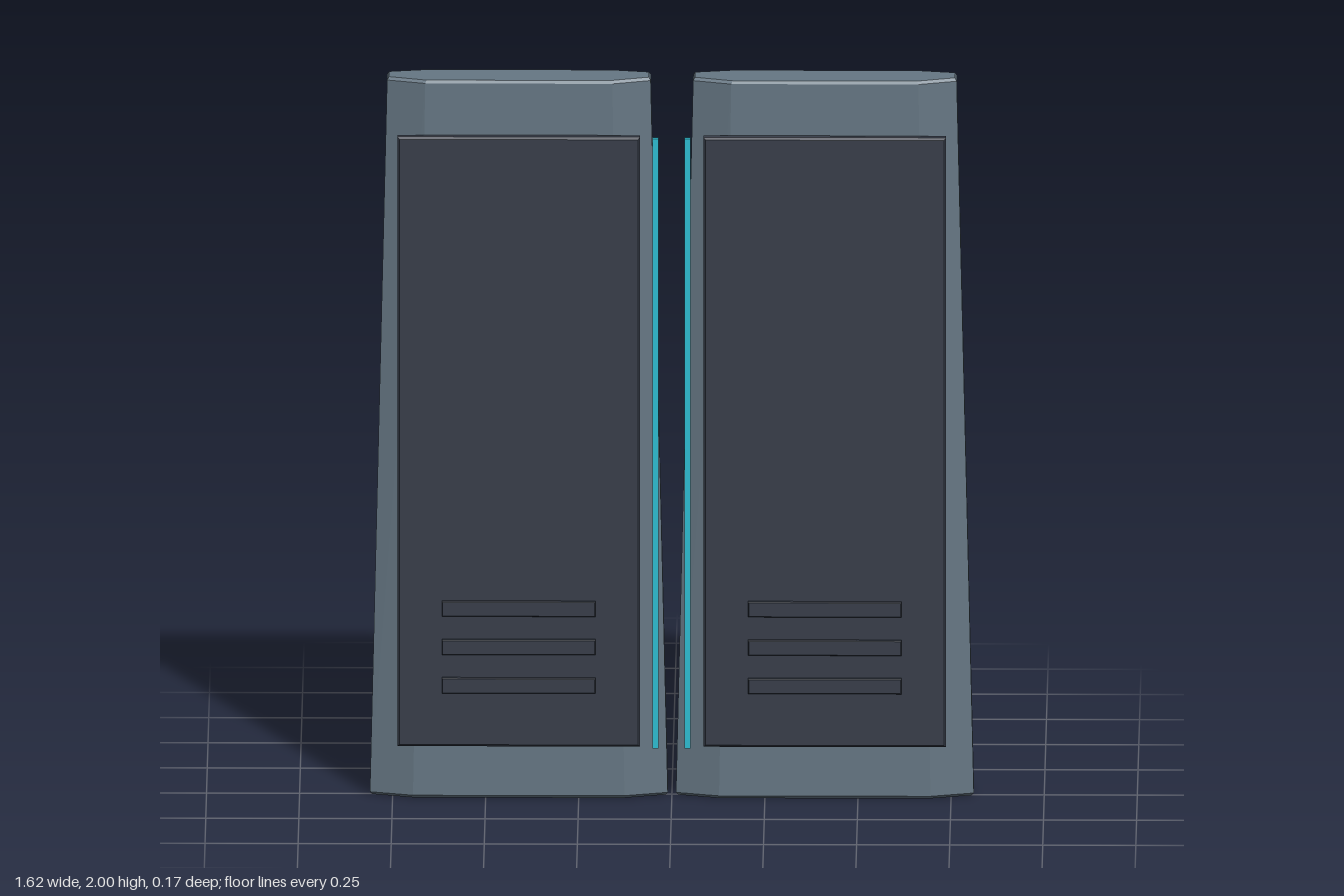
import * as THREE from 'three';

const frameMat = new THREE.MeshStandardMaterial({ color: 0x667784 });
const plateMat = new THREE.MeshStandardMaterial({ color: 0x373d49 });
const lightMat = new THREE.MeshStandardMaterial({ color: 0x2cc0d4 });
frameMat.name = 'slate grey';
plateMat.name = 'dark grey';
lightMat.name = 'cyan';

// Tapered eight-sided slab, lofted through rings of [y, half width, back z, front z]
function slabGeometry() {
  const rings = [
    [0, 0.394, -0.079, 0.039],
    [0.008, 0.4, -0.085, 0.045],
    [1.992, 0.354, -0.076, 0.04],
    [2, 0.349, -0.071, 0.035],
  ].map(([y, w, b, f]) => {
    const c = w * 0.71, sb = b + 0.02, sf = f - 0.034;
    return [[c, f], [w, sf], [w, sb], [c, b], [-c, b], [-w, sb], [-w, sf], [-c, f]]
      .map(([x, z]) => [x, y, z]);
  });
  const pos = [];
  const tri = (a, b, c) => pos.push(...a, ...b, ...c);
  for (let r = 0; r < rings.length - 1; r++) {
    for (let i = 0; i < 8; i++) {
      const j = (i + 1) % 8, lo = rings[r], hi = rings[r + 1];
      tri(lo[i], lo[j], hi[j]);
      tri(lo[i], hi[j], hi[i]);
    }
  }
  const bottom = rings[0], top = rings[rings.length - 1];
  for (let i = 1; i < 7; i++) {
    tri(top[0], top[i], top[i + 1]);
    tri(bottom[0], bottom[i + 1], bottom[i]);
  }
  const g = new THREE.BufferGeometry();
  g.setAttribute('position', new THREE.Float32BufferAttribute(pos, 3));
  g.computeVertexNormals();
  return g;
}

// Box with small chamfered edges, centred on the origin
function chamferBox(w, h, d, b) {
  const x = w / 2 - b, y = h / 2 - b;
  const s = new THREE.Shape([[-x, -y], [x, -y], [x, y], [-x, y]].map(p => new THREE.Vector2(...p)));
  const g = new THREE.ExtrudeGeometry(s, {
    depth: d - 2 * b, bevelEnabled: true, bevelSize: b, bevelThickness: b, bevelSegments: 1,
  });
  return g.translate(0, 0, b - d / 2);
}

function add(parent, name, geometry, material, x, y, z) {
  const mesh = new THREE.Mesh(geometry, material);
  mesh.name = name;
  mesh.position.set(x, y, z);
  parent.add(mesh);
}

export function createModel() {
  const model = new THREE.Group();
  model.name = 'pairedPanels';
  const slab = slabGeometry();
  const plate = chamferBox(0.652, 1.7, 0.03, 0.006);
  const slat = chamferBox(0.412, 0.042, 0.016, 0.002);
  const strip = new THREE.BoxGeometry(0.016, 1.7, 0.016);

  for (const side of [1, -1]) {
    const panel = new THREE.Group();
    panel.name = side > 0 ? 'leftPanel' : 'rightPanel';
    const x = side * 0.411;
    add(panel, 'slab', slab, frameMat, x, 0, 0);
    add(panel, 'facePlate', plate, plateMat, x, 1, 0.054);
    // Three raised slats low on the face plate
    for (let i = 0; i < 3; i++) add(panel, 'slat', slat, plateMat, x, 0.323 + i * 0.107, 0.073);
    // Glowing strip beside the centre gap
    add(panel, 'lightStrip', strip, lightMat, side * 0.043, 1, 0.073);
    model.add(panel);
  }
  return model;
}
